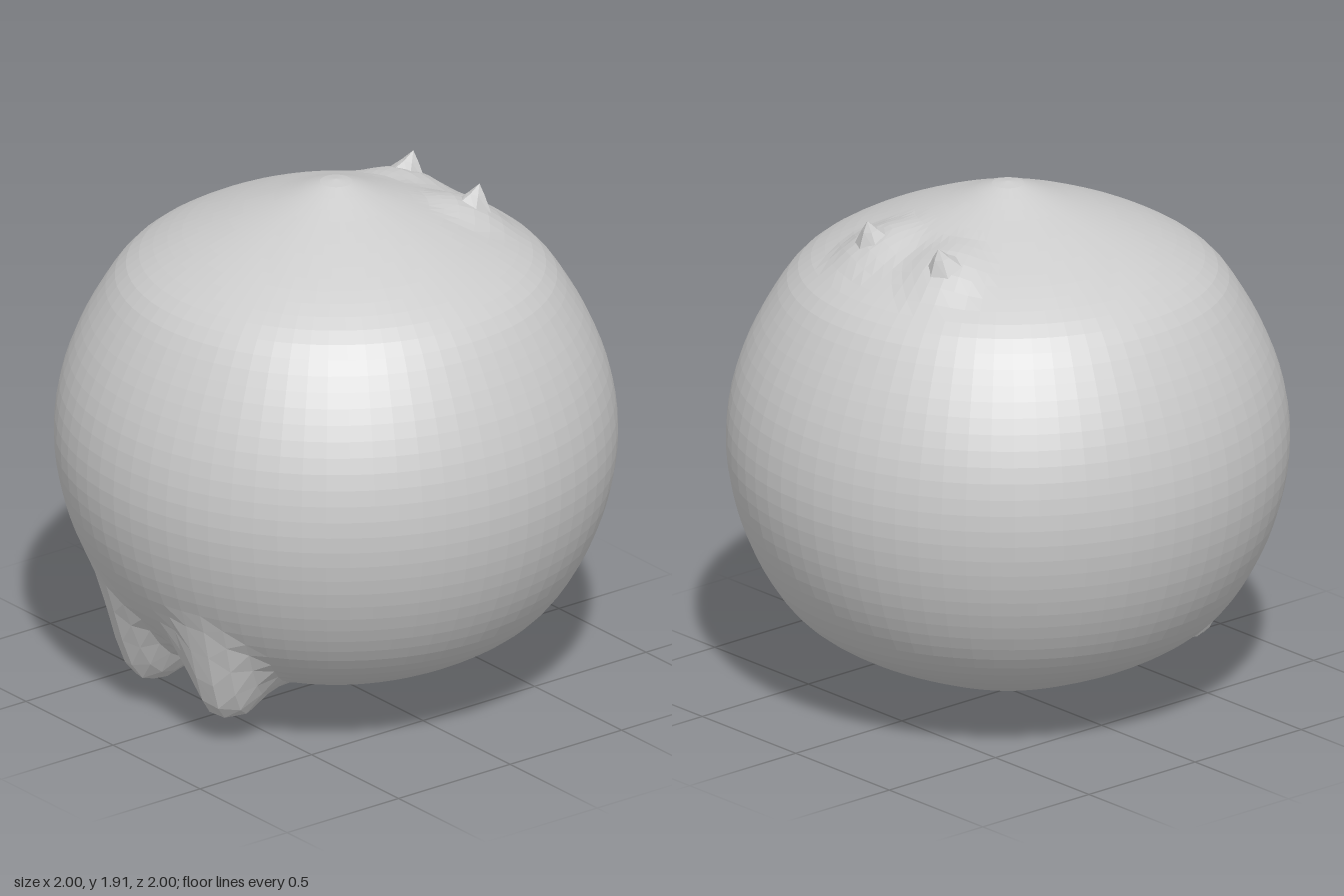
import * as THREE from 'three';

const material = new THREE.MeshStandardMaterial({ color: 0xcccccc, flatShading: true });

// 1 inside the core radius, easing to 0 at the outer radius
const falloff = (d, core, outer) => 1 - THREE.MathUtils.smoothstep(d, core, outer);

// Round body with pointed poles; the feet and ear mounds are pulled out of its surface
function makeBody() {
  const profile = [
    [0, 0.005], [0.05, 0.012], [0.2, 0.07], [0.4, 0.145], [0.6, 0.235], [0.75, 0.335], [0.85, 0.46],
    [0.93, 0.62], [0.98, 0.79], [0.998, 0.96], [0.98, 1.13], [0.93, 1.29], [0.85, 1.45],
    [0.75, 1.59], [0.6, 1.69], [0.4, 1.78], [0.2, 1.855], [0.06, 1.91], [0, 1.92],
  ].map(([r, y]) => new THREE.Vector2(r, y));
  const points = new THREE.SplineCurve(profile).getSpacedPoints(52);
  points[0].x = points[52].x = 0;
  const geometry = new THREE.LatheGeometry(points, 72);
  const pos = geometry.attributes.position;
  for (let i = 0; i < pos.count; i++) {
    let x = pos.getX(i), y = pos.getY(i), z = pos.getZ(i);
    const side = x < 0 ? -1 : 1;
    if (y < 0.6) {
      // stubby feet drawn down from the lower front
      const foot = falloff(Math.hypot(x - side * 0.22, (z - 0.65) * 0.95), 0.05, 0.21);
      y = THREE.MathUtils.lerp(y, 0.115, foot);
      // bottom point sits slightly forward
      z += 0.05 * Math.max(0, 1 - Math.hypot(x, z) / 0.3);
    } else if (y > 1.5) {
      // low mounds beneath the ears
      y += 0.035 * falloff(Math.hypot(x - side * 0.19, z + 0.46), 0.04, 0.2);
    }
    pos.setXYZ(i, x, y, z);
  }
  geometry.computeVertexNormals();
  const body = new THREE.Mesh(geometry, material);
  body.name = 'body';
  return body;
}

// Small faceted pointed ear with a flared base, its tip leaning backwards
function makeEar(side) {
  const outline = [[0.11, -0.04], [0.075, 0.015], [0.03, 0.07], [0, 0.105]];
  const geometry = new THREE.LatheGeometry(outline.map(([r, y]) => new THREE.Vector2(r, y)), 6);
  const pos = geometry.attributes.position;
  for (let i = 0; i < pos.count; i++) {
    const y = pos.getY(i), z = pos.getZ(i);
    // follow the slope of the body at the base
    const base = 1 - THREE.MathUtils.clamp(y / 0.105, 0, 1);
    pos.setY(i, y + z * 0.5 * base);
    pos.setZ(i, z - 0.035 * (1 - base));
  }
  geometry.computeVertexNormals();
  const ear = new THREE.Mesh(geometry, material);
  ear.position.set(side * 0.19, 1.73, -0.46);
  ear.name = side > 0 ? 'leftEar' : 'rightEar';
  return ear;
}

export function createModel() {
  const model = new THREE.Group();
  model.name = 'roundCreature';
  model.add(makeBody(), makeEar(1), makeEar(-1));
  return model;
}
